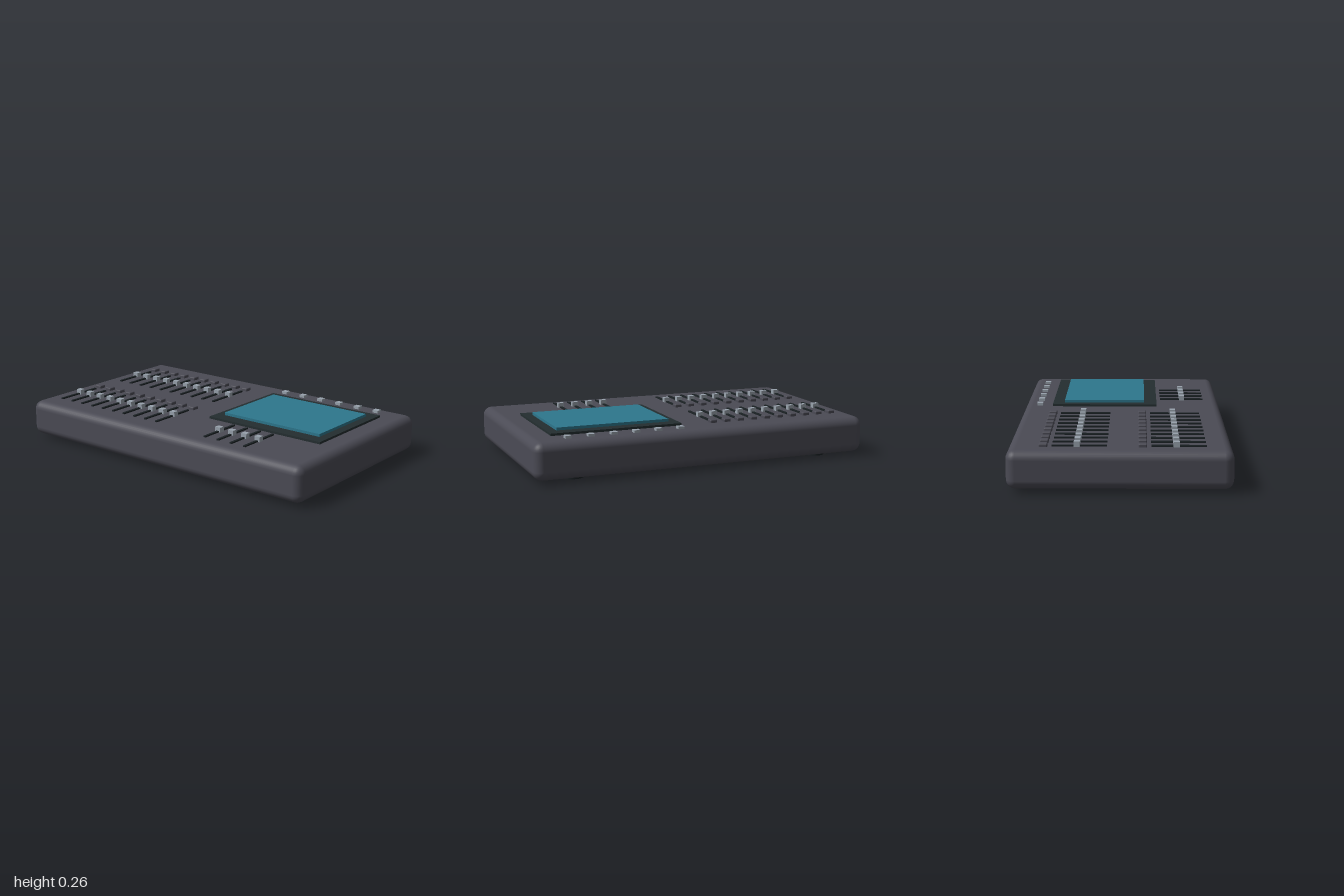
import * as THREE from 'three';
import { RoundedBoxGeometry } from 'three/addons/geometries/RoundedBoxGeometry.js';

const mat = (name, color) => {
  const m = new THREE.MeshStandardMaterial({ color });
  m.name = name;
  return m;
};

export function createModel() {
  const group = new THREE.Group();
  const casing = mat('charcoal casing', 0x4b4b55);
  const bezelMat = mat('dark bezel', 0x242e30);
  const rubber = mat('black rubber', 0x1b2225);
  const glass = mat('teal glass', 0x2d778d);
  const silver = mat('silver caps', 0x98a2ac);

  const TOP = 0.23;
  const add = (name, geometry, material, x, y, z) => {
    const mesh = new THREE.Mesh(geometry, material);
    mesh.name = name;
    mesh.position.set(x, y, z);
    group.add(mesh);
  };
  // Block resting slightly sunk into the top panel, reaching up to yTop
  const block = (name, material, x, z, w, d, yTop) => {
    const yBase = TOP - 0.005;
    add(name, new THREE.BoxGeometry(w, yTop - yBase, d), material, x, (yTop + yBase) / 2, z);
  };

  // Console housing
  add('housing', new RoundedBoxGeometry(2, 0.21, 1.2, 3, 0.05), casing, 0, 0.125, 0);

  // Feet
  for (const x of [-0.75, 0.75]) {
    for (const z of [-0.45, 0.45]) {
      add('foot', new THREE.CylinderGeometry(0.065, 0.065, 0.03, 24), rubber, x, 0.015, z);
    }
  }

  // Display
  block('screenBezel', bezelMat, 0.475, -0.108, 0.77, 0.635, 0.243);
  block('screen', glass, 0.475, -0.11, 0.664, 0.488, 0.259);

  // A fader: slot in the panel with a sliding cap
  const fader = (x, slotZ, length, capZ) => {
    block('faderSlot', rubber, x, slotZ, 0.015, length, 0.238);
    block('faderCap', silver, x, capZ, 0.036, 0.032, 0.259);
  };

  // Two banks of ten channel faders, each with a button behind it
  for (const bankZ of [0, 0.527]) {
    for (let i = 0; i < 10; i++) {
      const x = -0.88 + i * 0.0856;
      fader(x, -0.215 + bankZ, 0.293, -0.228 + bankZ);
      add('channelButton', new RoundedBoxGeometry(0.042, 0.03, 0.046, 2, 0.006), casing,
        x, 0.233, -0.407 + bankZ);
    }
  }

  // Master faders in front of the display
  for (let i = 0; i < 4; i++) fader(0.289 + i * 0.0915, 0.367, 0.268, 0.368);

  // Row of small buttons behind the display
  for (let i = 0; i < 6; i++) {
    block('displayButton', silver, 0.132 + i * 0.1316, -0.505, 0.036, 0.036, 0.245);
  }

  return group;
}
